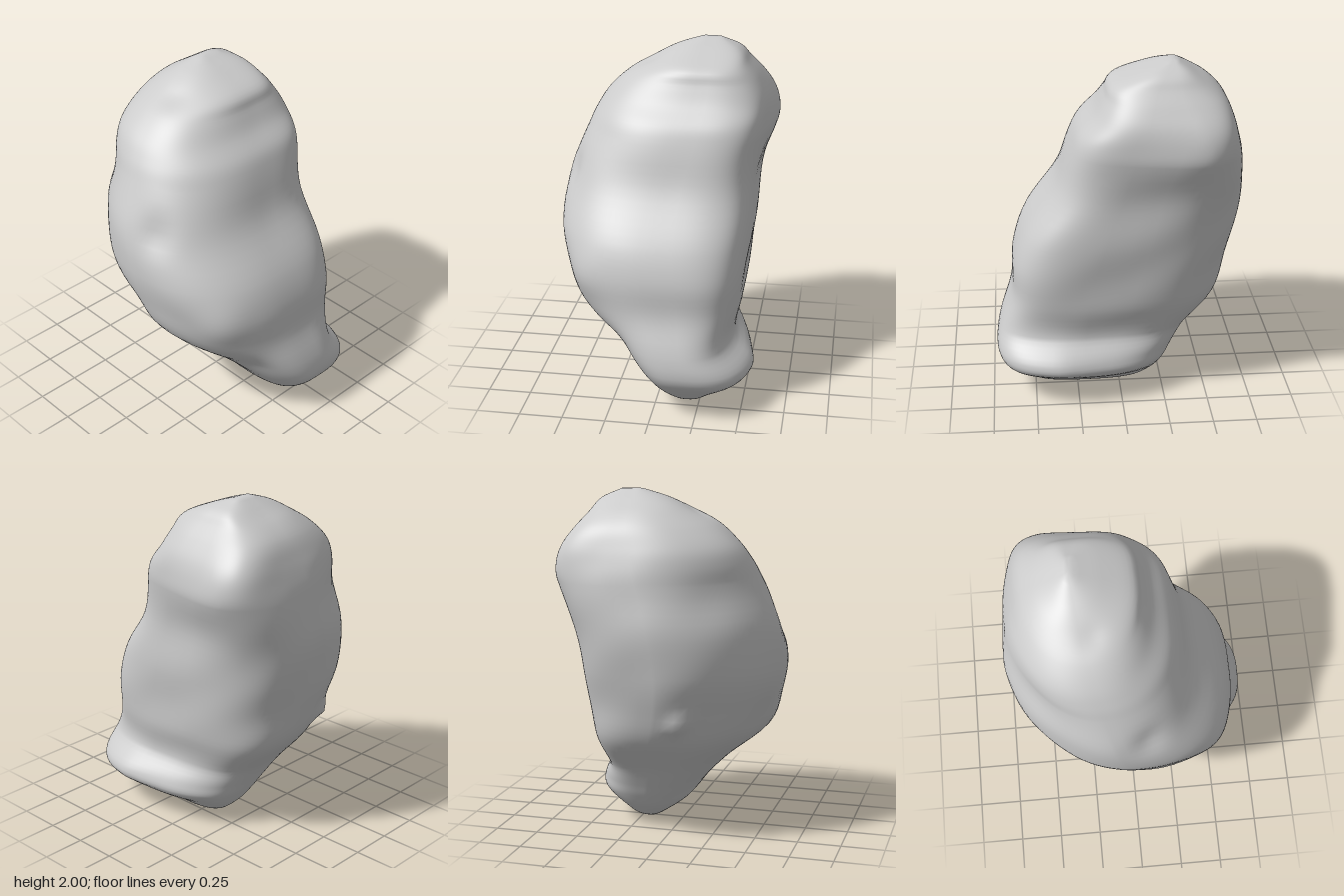
import * as THREE from 'three';

const { lerp, clamp, smoothstep } = THREE.MathUtils;

// Cross-sections from the ground up: [y, xMin, xMax, zMin, zMax]
const SECTIONS = [
  [0, 0.08, 0.36, -0.23, -0.14],
  [0.03, -0.1, 0.48, -0.28, -0.1],
  [0.1, -0.2, 0.58, -0.38, 0],
  [0.2, -0.28, 0.69, -0.55, 0.08],
  [0.28, -0.33, 0.72, -0.55, 0.15],
  [0.4, -0.41, 0.7, -0.44, 0.27],
  [0.6, -0.57, 0.63, -0.47, 0.5],
  [0.8, -0.635, 0.615, -0.49, 0.58],
  [1, -0.69, 0.54, -0.515, 0.62],
  [1.25, -0.715, 0.365, -0.545, 0.59],
  [1.5, -0.68, 0.28, -0.62, 0.48],
  [1.6, -0.66, 0.235, -0.615, 0.44],
  [1.7, -0.63, 0.145, -0.58, 0.38],
  [1.8, -0.58, 0.085, -0.51, 0.27],
  [1.88, -0.5, 0.04, -0.44, 0.13],
  [1.95, -0.4, -0.12, -0.38, 0],
  [2, -0.32, -0.27, -0.27, -0.15],
];

// Hollows and knobs: [x, y, z, radius, push outwards]
const BUMPS = [
  [0.06, 1.25, 0.52, 0.1, -0.035],
  [-0.48, 1.4, 0.25, 0.17, -0.03],
  [-0.2, 1.45, 0.45, 0.18, 0.015],
  [-0.15, 0.68, 0.52, 0.12, -0.02],
  [0.45, 0.78, 0.38, 0.14, 0.025],
  [0.5, 0.45, 0.15, 0.13, -0.025],
  [-0.2, 1.84, 0.12, 0.07, -0.012],
  [-0.6, 0.72, 0.14, 0.06, 0.045],
];

const SIDES = 96;
const STEPS = 5; // rings between neighbouring sections

const bell = (y, peak, width) => Math.exp(-(((y - peak) / width) ** 2));

// Smooth section between entries i and i + 1
function sectionAt(i, t) {
  const [a, b, c, d] = [-1, 0, 1, 2].map((k) => SECTIONS[clamp(i + k, 0, SECTIONS.length - 1)]);
  const h = c[0] - b[0], t2 = t * t, t3 = t2 * t;
  return b.map((v, k) => {
    const m0 = (h * (c[k] - a[k])) / (c[0] - a[0]);
    const m1 = (h * (d[k] - v)) / (d[0] - b[0]);
    return (2 * t3 - 3 * t2 + 1) * v + (t3 - 2 * t2 + t) * m0 + (3 * t2 - 2 * t3) * c[k] + (t3 - t2) * m1;
  });
}

// How square each quarter of the outline is at height y (2 is an ellipse)
function squareness(y, right, front) {
  const body = smoothstep(y, 0.3, 0.7);
  if (front) return right ? 2.1 - 0.4 * body + 0.5 * smoothstep(y, 1.3, 1.75) : 2.75 - 0.35 * body;
  return right ? 3 + 1.4 * bell(y, 1.68, 0.25) : 3 + 0.8 * body;
}

// Point on a D-shaped outline: rounded front, flat back with tight corners
function outline([y, x0, x1, z0, z1], angle) {
  const c = Math.cos(angle), s = Math.sin(angle);
  const cx = lerp(0.2, -0.295, y / 2);
  const cz = -0.18 + 0.2 * Math.sin((Math.PI * y) / 2) ** 2;
  const n = squareness(y, c < 0, s > 0);
  const px = Math.sign(c) * Math.abs(c) ** (2 / n);
  const pz = Math.abs(s) ** (2 / n);
  const x = cx + px * (px > 0 ? x1 - cx : cx - x0);
  // The back slants one way on the body and the other way on the foot
  const trim = 0.13 * bell(y, 1.5, 0.3) * Math.max(0, x - x0 - 0.2)
    + 0.2 * bell(y, 0.25, 0.12) * Math.max(0, 0.35 - x);
  const z = s > 0 ? cz + pz * (z1 - cz) : cz - pz * (cz - z0 - trim);
  return [x, y, z];
}

// Local bumps plus a faint ripple, fading at both ends
function weather(geo) {
  const p = geo.attributes.position, normals = geo.attributes.normal;
  const v = new THREE.Vector3(), normal = new THREE.Vector3(), centre = new THREE.Vector3();
  for (let i = 0; i < p.count; i++) {
    v.fromBufferAttribute(p, i);
    normal.fromBufferAttribute(normals, i);
    let push = 0.005 * Math.sin(9 * v.x + 5 * v.y) * Math.sin(8 * v.z - 11 * v.y + 1);
    for (const [x, y, z, radius, amount] of BUMPS) {
      push += amount * Math.exp(-v.distanceToSquared(centre.set(x, y, z)) / radius ** 2);
    }
    const fade = smoothstep(v.y, 0, 0.15) * (1 - smoothstep(v.y, 1.88, 2));
    v.addScaledVector(normal, push * fade);
    p.setXYZ(i, v.x, v.y, v.z);
  }
}

function rockGeometry() {
  const pos = [], index = [];
  const rings = (SECTIONS.length - 1) * STEPS + 1;
  for (let r = 0; r < rings; r++) {
    const i = Math.min(Math.floor(r / STEPS), SECTIONS.length - 2);
    const section = sectionAt(i, r / STEPS - i);
    for (let k = 0; k < SIDES; k++) pos.push(...outline(section, (k / SIDES) * Math.PI * 2));
  }
  for (let r = 0; r < rings - 1; r++) {
    for (let k = 0; k < SIDES; k++) {
      const a = r * SIDES + k, b = r * SIDES + ((k + 1) % SIDES);
      index.push(a, a + SIDES, b, b, a + SIDES, b + SIDES);
    }
  }
  // Close the base and the crown
  const base = pos.length / 3, last = (rings - 1) * SIDES;
  pos.push(0.2, 0, -0.18, -0.295, 2, -0.2);
  for (let k = 0; k < SIDES; k++) {
    const n = (k + 1) % SIDES;
    index.push(base, k, n, base + 1, last + n, last + k);
  }
  const geo = new THREE.BufferGeometry();
  geo.setAttribute('position', new THREE.Float32BufferAttribute(pos, 3));
  geo.setIndex(index);
  geo.computeVertexNormals();
  weather(geo);
  geo.computeVertexNormals();
  return geo;
}

export function createModel() {
  const group = new THREE.Group();
  group.name = 'boulder';
  const rock = new THREE.Mesh(rockGeometry(), new THREE.MeshStandardMaterial({ color: 0xcccccc }));
  rock.name = 'rock';
  group.add(rock);
  return group;
}
